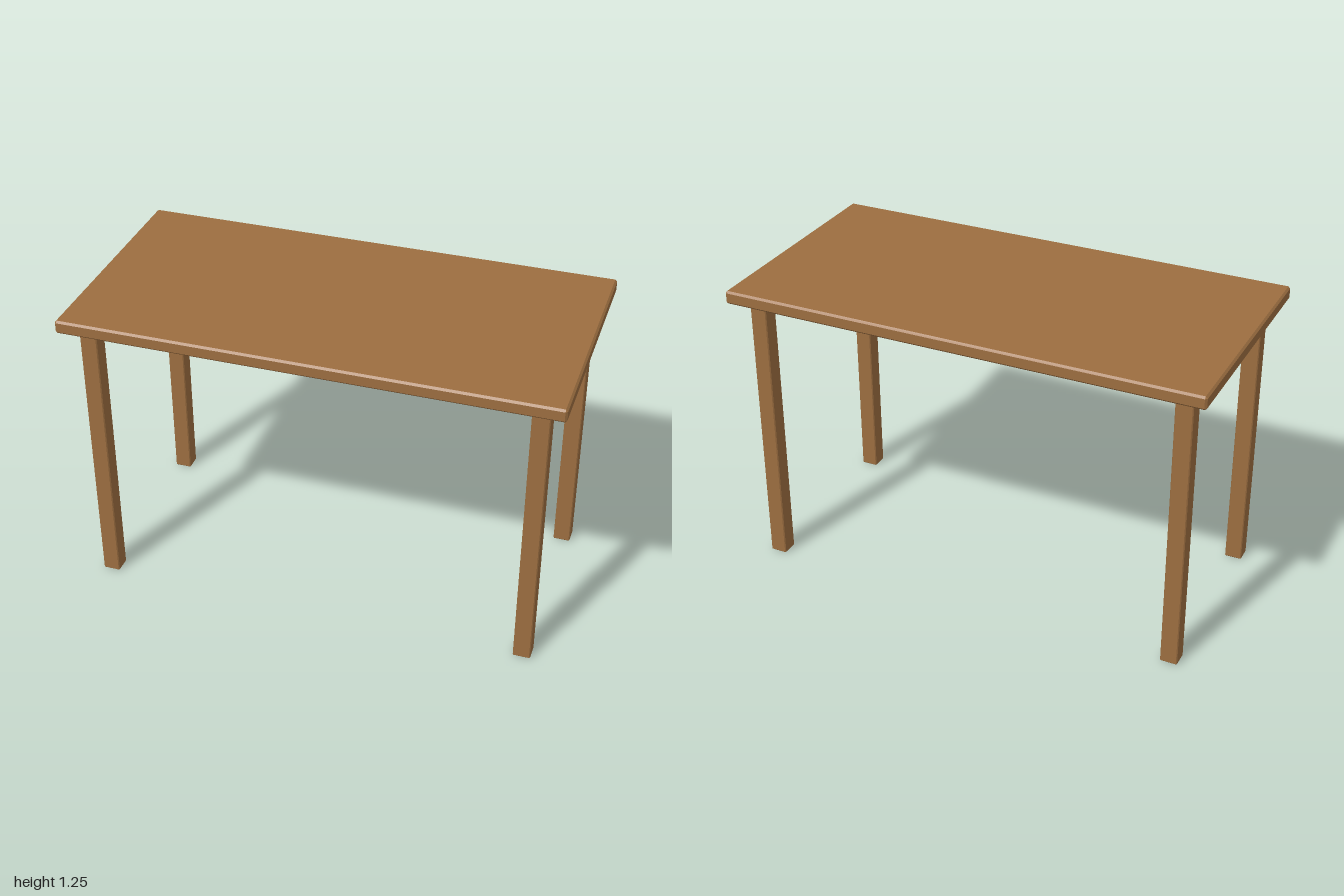
import * as THREE from 'three';
import { ConvexGeometry } from 'three/addons/geometries/ConvexGeometry.js';

// Box with every edge and corner chamfered by c, centred on the origin.
function chamferedBox(w, h, d, c) {
  const x = w / 2, y = h / 2, z = d / 2;
  const points = [];
  for (const sx of [-1, 1]) for (const sy of [-1, 1]) for (const sz of [-1, 1]) {
    points.push(
      new THREE.Vector3(sx * x, sy * (y - c), sz * (z - c)),
      new THREE.Vector3(sx * (x - c), sy * y, sz * (z - c)),
      new THREE.Vector3(sx * (x - c), sy * (y - c), sz * z)
    );
  }
  return new ConvexGeometry(points);
}

export function createModel() {
  const table = new THREE.Group();
  table.name = 'table';

  const wood = new THREE.MeshStandardMaterial({ color: 0x9c6e40 });
  wood.name = 'brown wood';

  const height = 1.252, thickness = 0.055;
  const legHeight = height - thickness, legWidth = 0.071;

  // Tabletop
  const top = new THREE.Mesh(chamferedBox(2, thickness, 1, 0.008), wood);
  top.name = 'tabletop';
  top.position.y = height - thickness / 2;
  table.add(top);

  // Four legs, inset from the corners
  const legGeometry = chamferedBox(legWidth, legHeight, legWidth, 0.004);
  for (const [side, sx] of [['Left', 1], ['Right', -1]]) {
    for (const [end, sz] of [['front', 1], ['back', -1]]) {
      const leg = new THREE.Mesh(legGeometry, wood);
      leg.name = `${end}${side}Leg`;
      leg.position.set(sx * 0.897, legHeight / 2, sz * 0.397);
      table.add(leg);
    }
  }

  return table;
}
